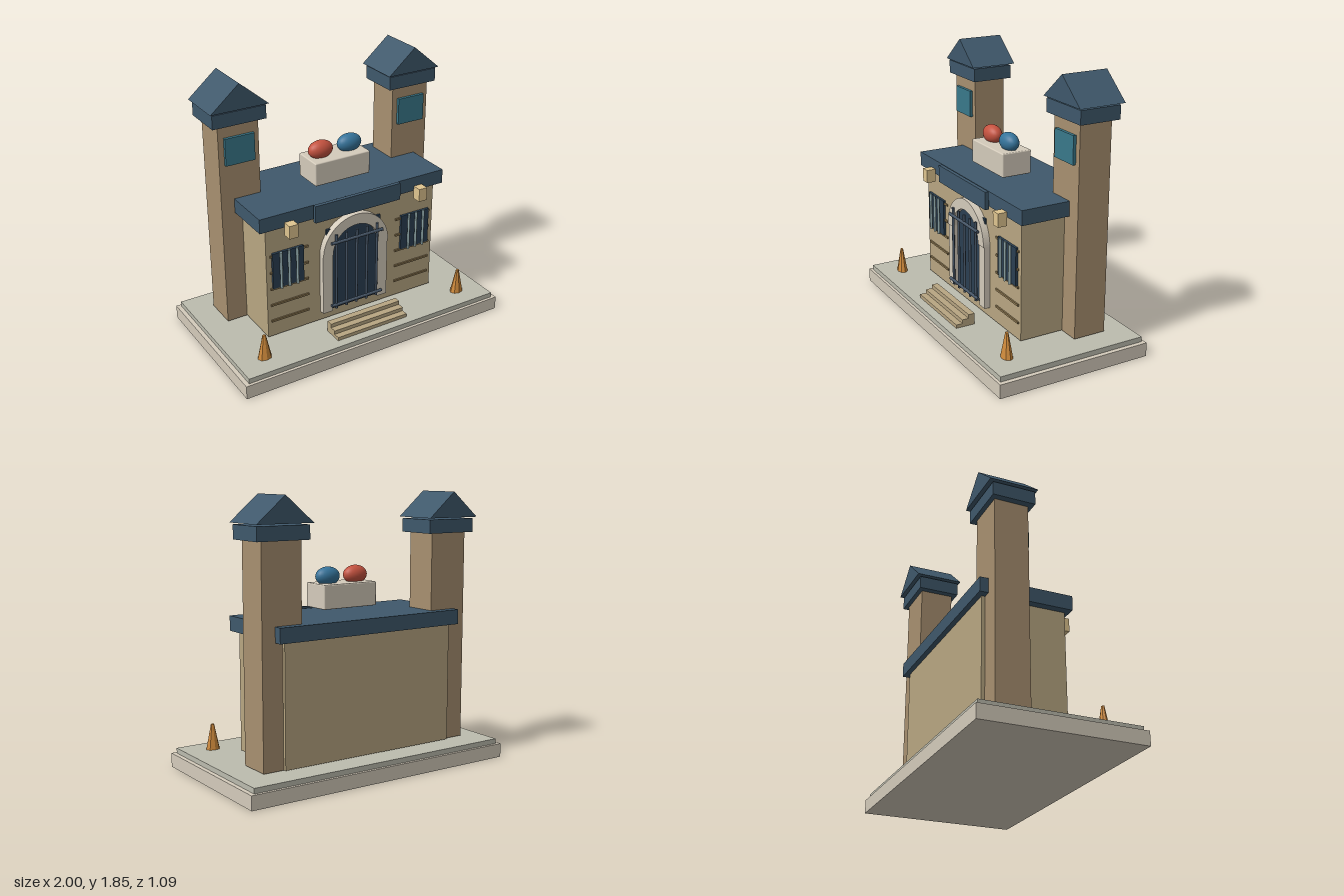
import * as THREE from 'three';
import { RoundedBoxGeometry } from 'three/addons/geometries/RoundedBoxGeometry.js';

const mat = (color, flatShading = false) => new THREE.MeshStandardMaterial({ color, flatShading });
const M = {
  stone: mat(0xd4cbbb), paving: mat(0xbcbcae), wall: mat(0xb8a682), tower: mat(0xa89070),
  roof: mat(0x3f586b), dark: mat(0x2a3f52), iron: mat(0x465566), bar: mat(0x90a8aa),
  glass: mat(0x39788a), lamp: mat(0xdfc590), ledge: mat(0x8c7750), red: mat(0xc4523f),
  blue: mat(0x35739a), cone: mat(0xd08b3c, true),
};

export function createModel() {
  const model = new THREE.Group();

  const add = (name, geometry, material, x = 0, y = 0, z = 0) => {
    const mesh = new THREE.Mesh(geometry, material);
    mesh.name = name;
    mesh.position.set(x, y, z);
    model.add(mesh);
    return mesh;
  };
  // Box given by centre x, width, and its y and z limits
  const box = (name, material, x, w, y0, y1, z0, z1) =>
    add(name, new THREE.BoxGeometry(w, y1 - y0, z1 - z0), material, x, (y0 + y1) / 2, (z0 + z1) / 2);
  const rod = (name, material, r, length, x, y, z) =>
    add(name, new THREE.CylinderGeometry(r, r, length, 10), material, x, y, z);
  const extrude = (shape, depth) =>
    new THREE.ExtrudeGeometry(shape, { depth, bevelEnabled: false, curveSegments: 24 });

  // Ground and main building
  box('base', M.stone, 0, 2, 0, 0.095, -0.545, 0.545);
  box('paving', M.paving, 0, 1.94, 0.095, 0.13, -0.525, 0.525);
  box('mainWall', M.wall, 0, 1.31, 0.142, 0.95, -0.37, 0.197);
  box('mainRoof', M.roof, 0, 1.415, 0.95, 1.05, -0.405, 0.228);
  box('roofFascia', M.roof, 0, 0.655, 0.94, 1.06, 0.245, 0.272);

  // Roof plinth with two oval balls
  add('plinth', new RoundedBoxGeometry(0.42, 0.162, 0.215, 2, 0.008), M.stone, 0, 1.169, -0.032);
  for (const s of [-1, 1]) {
    const ball = add(s < 0 ? 'redBall' : 'blueBall', new THREE.SphereGeometry(1, 28, 18),
      s < 0 ? M.red : M.blue, s * 0.111, 1.295, -0.03);
    ball.scale.set(0.09, 0.063, 0.057);
  }

  // Entrance: door, jambs and arch ring
  box('door', M.dark, 0, 0.425, 0.21, 0.83, 0.19, 0.21);
  for (const s of [-1, 1]) box('doorJamb', M.stone, s * 0.2175, 0.075, 0.21, 0.65, 0.195, 0.238);
  const arch = new THREE.Shape();
  arch.absarc(0, 0, 0.255, 0, Math.PI, false);
  arch.absarc(0, 0, 0.18, Math.PI, 0, true);
  arch.closePath();
  add('doorArch', extrude(arch, 0.05), M.stone, 0, 0.65, 0.195);

  // Gate of five uprights and two rails
  for (let i = -2; i <= 2; i++) rod('gateBar', M.iron, 0.009, 0.565, i * 0.08, 0.517, 0.252);
  for (const y of [0.265, 0.745]) rod('gateRail', M.iron, 0.011, 0.4, 0, y, 0.258).rotation.z = Math.PI / 2;

  // Front steps
  box('lowerStep', M.wall, 0, 0.55, 0.13, 0.155, 0.325, 0.462);
  box('middleStep', M.wall, 0, 0.55, 0.155, 0.181, 0.325, 0.417);
  box('upperStep', M.wall, 0, 0.55, 0.181, 0.208, 0.325, 0.37);

  const gable = new THREE.Shape();
  gable.moveTo(-0.203, 0).lineTo(0.203, 0).lineTo(0, 0.172).closePath();

  for (const s of [-1, 1]) {
    // Towers
    const tx = s * 0.658;
    box('tower', M.tower, tx, 0.285, 0.14, 1.57, -0.347, -0.117);
    box('towerCap', M.roof, tx, 0.375, 1.57, 1.662, -0.377, -0.087);
    add('towerRoof', extrude(gable, 0.328), M.roof, tx, 1.673, -0.4);
    box('towerWindow', M.glass, tx, 0.208, 1.3, 1.487, -0.118, -0.096);

    // Wall windows, bars and ledges
    box('window', M.dark, s * 0.5, 0.23, 0.51, 0.77, 0.19, 0.214);
    for (let i = -1; i <= 1; i++) rod('windowBar', M.bar, 0.009, 0.268, s * 0.5 + i * 0.06, 0.642, 0.226);
    for (let i = 0; i < 5; i++) {
      const y = 0.26 + i * 0.122;
      box('wallLedge', M.ledge, s * 0.487, 0.285, y - 0.007, y + 0.007, 0.19, 0.207);
    }
    box('lantern', M.lamp, s * 0.5, 0.064, 0.893, 0.985, 0.23, 0.295);

    // Small cones on the forecourt
    add('cone', new THREE.CylinderGeometry(0.012, 0.05, 0.172, 8), M.cone, s * 0.776, 0.216, 0.37).scale.z = 0.74;
  }
  return model;
}
